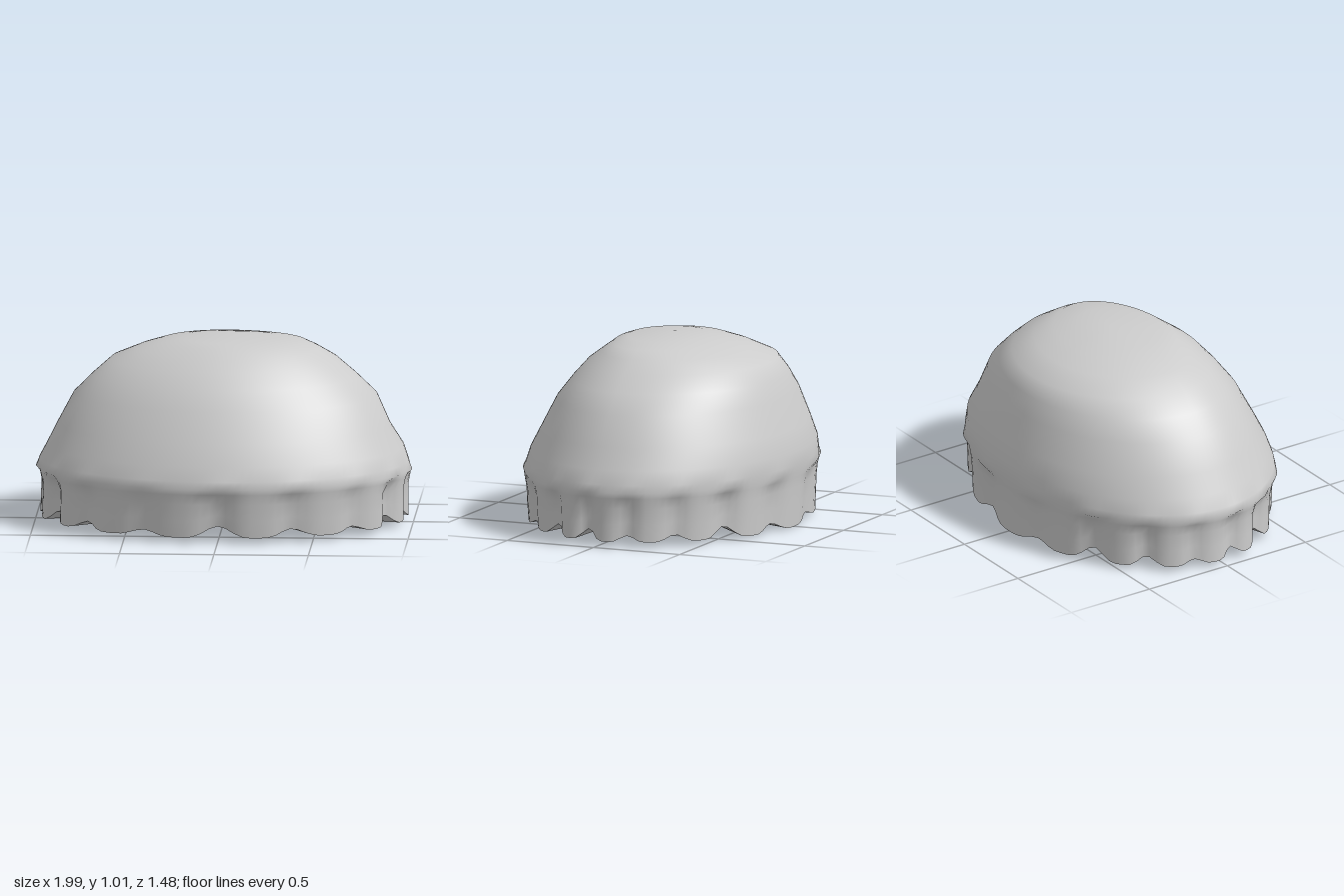
import * as THREE from 'three';

const SEG = 136, PLEATS = 17;

// Cross-sections: height, reach to +x, -x, +z, -z, then how far a gather moves the wall
const RINGS = [
  [0.03, 0.975, 0.978, 0.70, 0.715, -0.045],
  [0.12, 0.975, 0.975, 0.71, 0.72, -0.045],
  [0.21, 0.975, 0.972, 0.715, 0.725, -0.04],
  [0.265, 0.985, 0.982, 0.725, 0.73, -0.02],
  [0.295, 0.985, 0.988, 0.73, 0.735, 0.015],
  [0.335, 0.975, 0.98, 0.72, 0.737, 0],
  [0.41, 0.95, 0.94, 0.695, 0.738, 0],
  [0.52, 0.88, 0.885, 0.64, 0.705, 0],
  [0.68, 0.81, 0.80, 0.555, 0.65, 0],
  [0.78, 0.705, 0.70, 0.48, 0.61, 0],
  [0.865, 0.605, 0.605, 0.405, 0.56, 0],
  [0.925, 0.51, 0.465, 0.325, 0.43, 0],
  [0.965, 0.435, 0.345, 0.27, 0.31, 0],
  [0.985, 0.29, 0.22, 0.21, 0.20, 0],
];

// Point on a ring; gathers fold the wall in below a small lip and notch the hem
function ringPoint([y, xl, xr, zf, zb, push], i) {
  const a = (i / SEG) * Math.PI * 2, b = a - Math.PI / 2;
  const c = Math.cos(a), s = Math.sin(a);
  const gather = (0.5 + 0.5 * Math.cos(PLEATS * b - 1.4 * Math.sin(2 * b))) ** 2;
  const vary = 0.8 + 0.3 * Math.sin(5 * a + 0.4);
  const r = 1 + push * gather * vary;
  const hem = Math.max(0, 1 - (y - 0.03) / 0.18);
  const lift = hem * (0.055 * gather * vary - 0.03 * Math.max(0, -s) ** 6);
  return [c * (c > 0 ? xl : xr) * r, y + lift, s * (s > 0 ? zf : zb) * r];
}

// Skin a stack of rings and close it with a centre point
function skin(rings, tip, facingDown) {
  const pos = [], index = [];
  for (const ring of rings)
    for (let i = 0; i < SEG; i++) pos.push(...ringPoint(ring, i));
  const end = pos.length / 3;
  pos.push(...tip);
  for (let k = 0; k < rings.length; k++)
    for (let i = 0; i < SEG; i++) {
      const a = k * SEG + i, b = k * SEG + (i + 1) % SEG;
      if (k < rings.length - 1) index.push(a, a + SEG, b, b, a + SEG, b + SEG);
      else if (facingDown) index.push(a, b, end);
      else index.push(a, end, b);
    }
  const g = new THREE.BufferGeometry();
  g.setAttribute('position', new THREE.Float32BufferAttribute(pos, 3));
  g.setIndex(index);
  g.computeVertexNormals();
  return g;
}

export function createModel() {
  const group = new THREE.Group();
  const material = new THREE.MeshStandardMaterial({ color: 0xcccccc });

  // Domed crown flowing into the gathered frill
  const crown = new THREE.Mesh(skin(RINGS, [0.04, 1.01, -0.04], false), material);
  crown.name = 'crownAndFrill';
  group.add(crown);

  // Pleated underside drawn in to the centre
  const underside = new THREE.Mesh(skin([RINGS[0]], [0, 0.06, 0], true), material);
  underside.name = 'underside';
  group.add(underside);

  return group;
}
